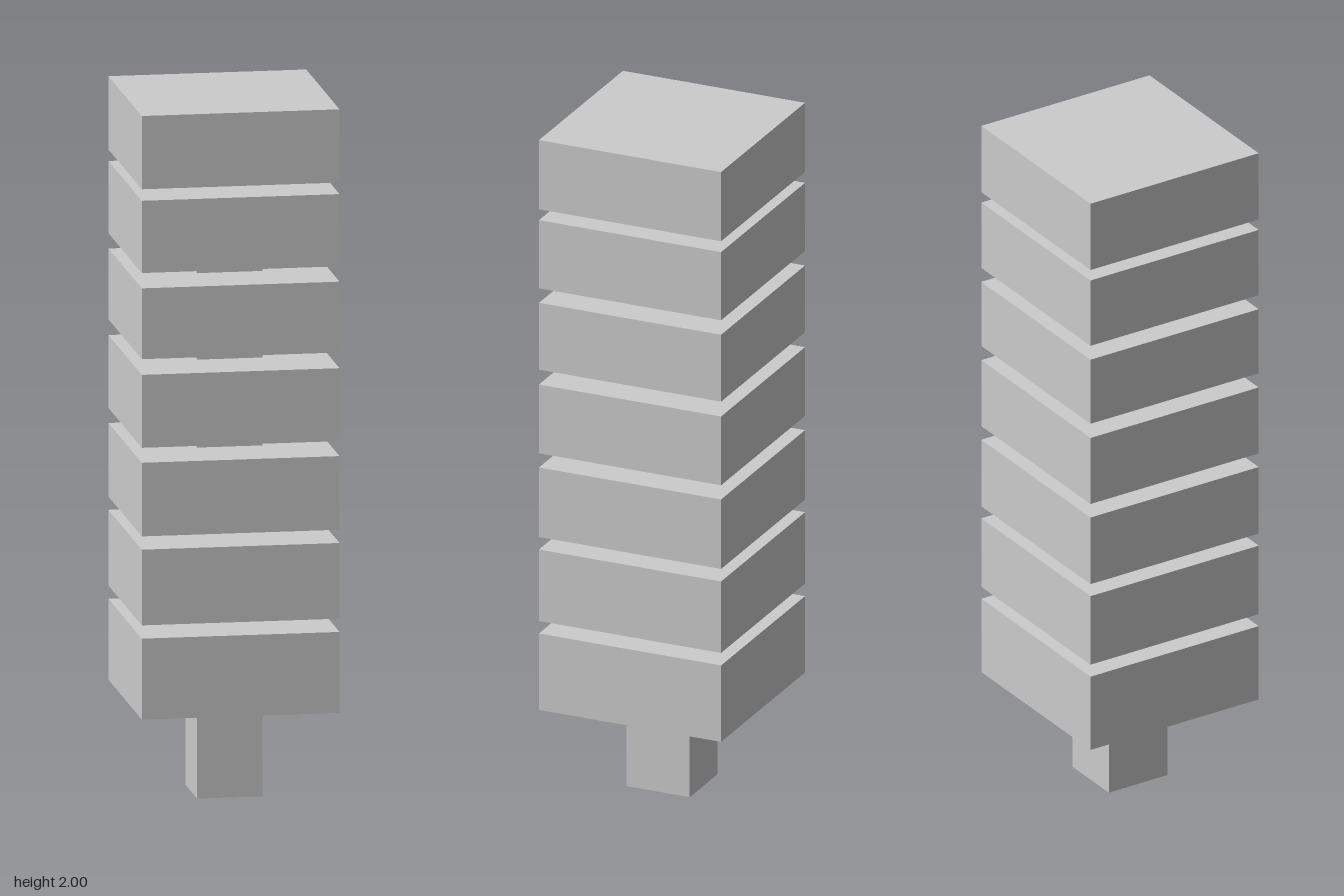
import * as THREE from 'three';

export function createModel() {
  const model = new THREE.Group();
  const material = new THREE.MeshStandardMaterial({ color: 0xcccccc, flatShading: true });

  function addBlock(name, width, depth, bottom, top) {
    const mesh = new THREE.Mesh(new THREE.BoxGeometry(width, top - bottom, depth), material);
    mesh.position.y = (bottom + top) / 2;
    mesh.name = name;
    model.add(mesh);
  }

  // Square core running up through the stack
  addBlock('centralPost', 0.187, 0.196, 0, 1.9);

  // Stacked slabs, bottom and top heights
  const slabs = [
    [0.27, 0.502], [0.54, 0.757], [0.795, 1.006], [1.049, 1.258],
    [1.303, 1.506], [1.55, 1.757], [1.79, 2],
  ];
  slabs.forEach(([bottom, top], i) => addBlock(`slab${i + 1}`, 0.563, 0.563, bottom, top));

  return model;
}
